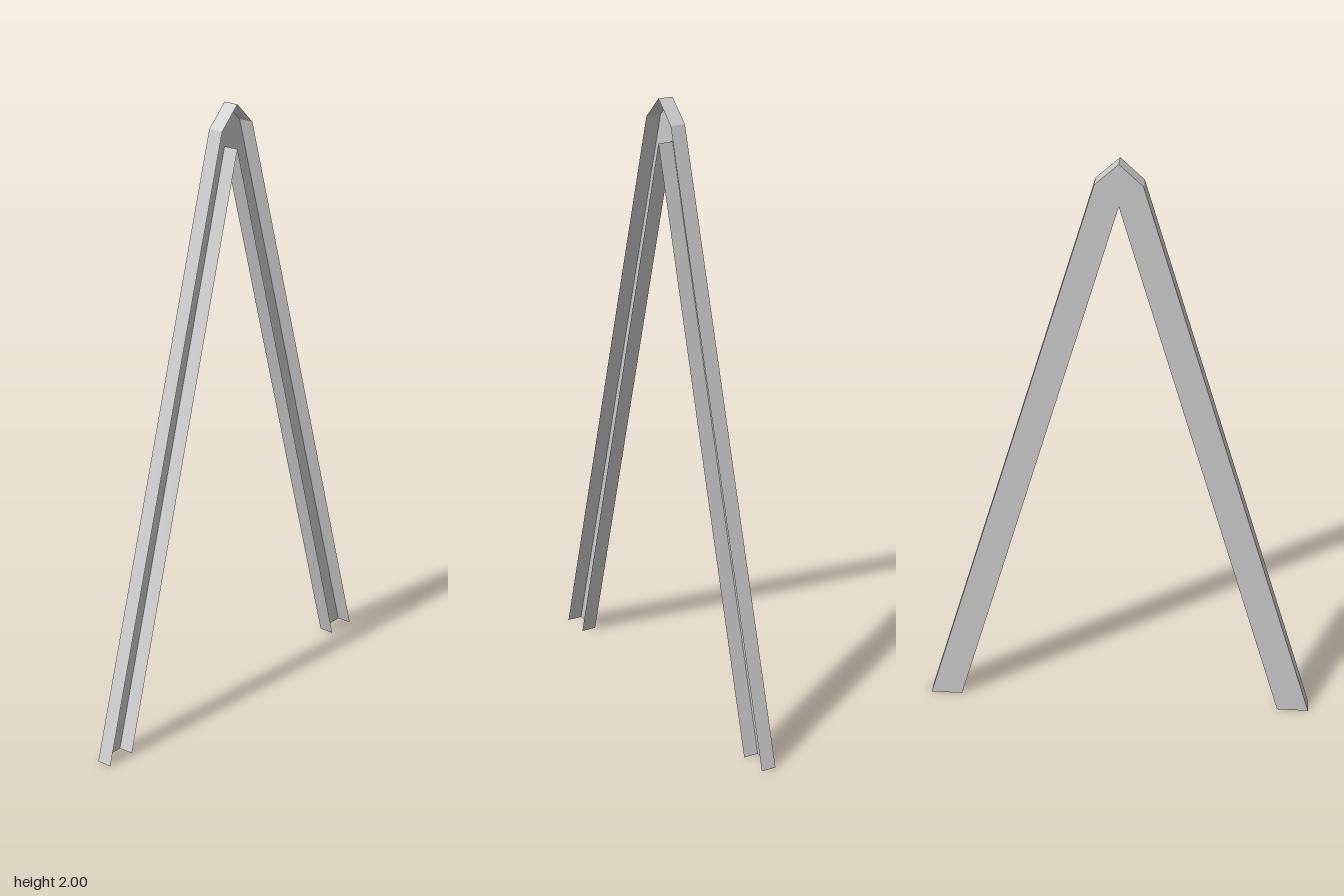
import * as THREE from 'three';

const HALF_WIDTH = 0.025;
const material = new THREE.MeshStandardMaterial({ color: 0xcccccc, flatShading: true, side: THREE.DoubleSide });

// Side profile as [z, y] points, from the front foot to the back foot
const outer = [[0.64, 0], [0.074, 1.93], [0, 2], [-0.074, 1.93], [-0.64, 0]];
const inner = [[0.536, 0], [0, 1.86], [-0.536, 0]];

// Thin sheet that follows a profile line across the full width
function flange(points, name) {
  const positions = [];
  for (let i = 0; i < points.length - 1; i++) {
    const [z0, y0] = points[i];
    const [z1, y1] = points[i + 1];
    const a = [-HALF_WIDTH, y0, z0], b = [HALF_WIDTH, y0, z0];
    const c = [HALF_WIDTH, y1, z1], d = [-HALF_WIDTH, y1, z1];
    positions.push(...a, ...b, ...c, ...a, ...c, ...d);
  }
  const geometry = new THREE.BufferGeometry();
  geometry.setAttribute('position', new THREE.Float32BufferAttribute(positions, 3));
  geometry.computeVertexNormals();
  const mesh = new THREE.Mesh(geometry, material);
  mesh.name = name;
  return mesh;
}

// Flat side plate that closes the channel on one side
function sidePlate() {
  const outline = [...outer, ...[...inner].reverse()];
  const shape = new THREE.Shape(outline.map(([z, y]) => new THREE.Vector2(z, y)));
  const geometry = new THREE.ShapeGeometry(shape);
  geometry.rotateY(-Math.PI / 2); // shape x becomes z, facing -x
  geometry.translate(-HALF_WIDTH, 0, 0);
  const mesh = new THREE.Mesh(geometry, material);
  mesh.name = 'sidePlate';
  return mesh;
}

export function createModel() {
  const model = new THREE.Group();
  model.name = 'channelFrame';
  // Open channel: a side plate with an outer and an inner flange
  model.add(sidePlate(), flange(outer, 'outerFlange'), flange(inner, 'innerFlange'));
  return model;
}
